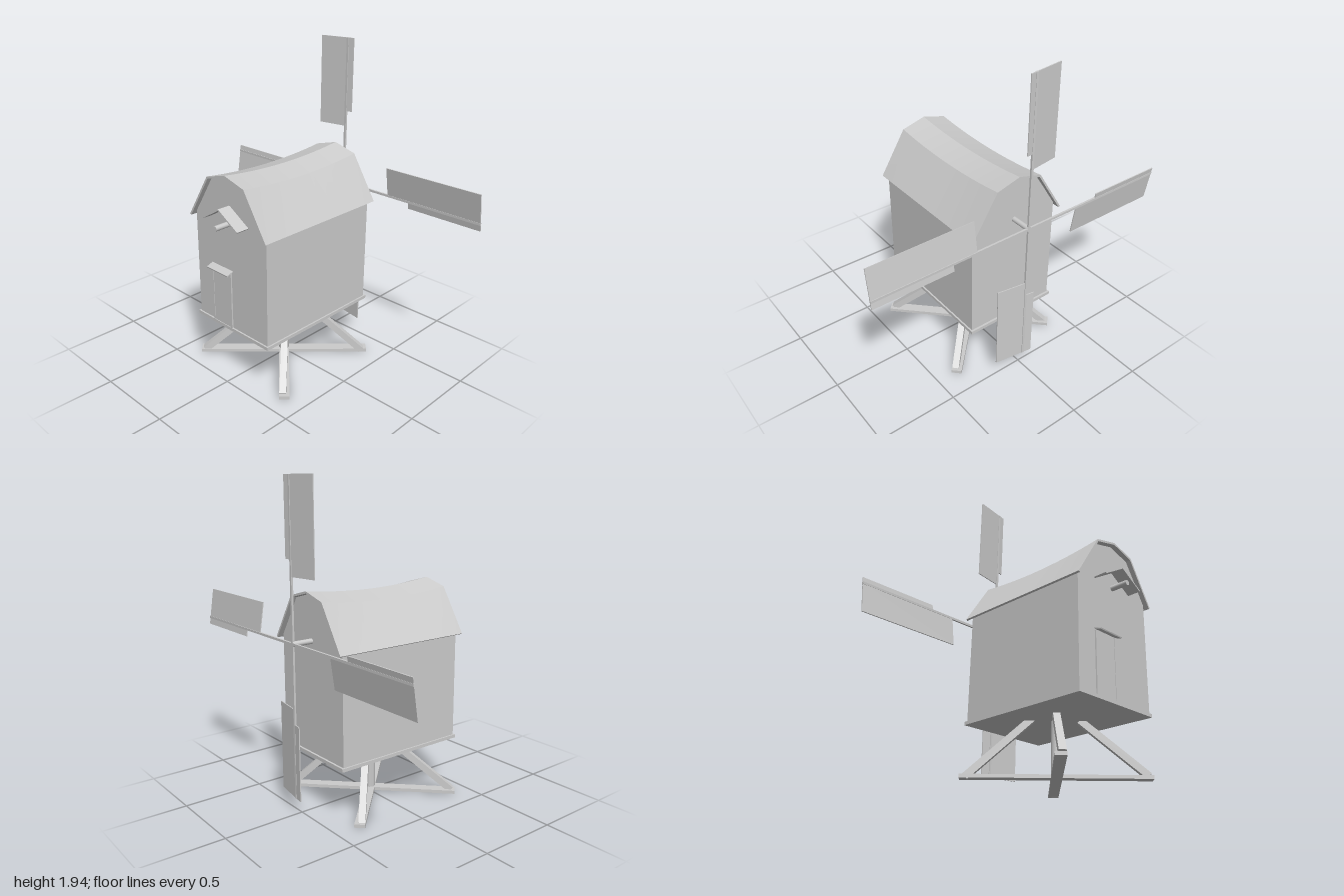
import * as THREE from 'three';
import { toCreasedNormals } from 'three/addons/utils/BufferGeometryUtils.js';

const material = new THREE.MeshStandardMaterial({ color: 0xcccccc });
const CX = -0.0125; // middle of the mill house along x
const AXLE_Y = 1.015;

function addMesh(parent, name, geometry, x = 0, y = 0, z = 0) {
  const mesh = new THREE.Mesh(geometry, material);
  mesh.name = name;
  mesh.position.set(x, y, z);
  parent.add(mesh);
  return mesh;
}

const box = (w, h, d) => new THREE.BoxGeometry(w, h, d);

// Extrudes a [z, y] outline along x, then lets its upper part sag in the middle
function saggingExtrusion(outline, x0, x1) {
  const shape = new THREE.Shape(outline.map(([z, y]) => new THREE.Vector2(z, y)));
  const geometry = new THREE.ExtrudeGeometry(shape, { depth: x1 - x0, steps: 12, bevelEnabled: false });
  geometry.rotateY(Math.PI / 2).translate(x0, 0, 0);
  const p = geometry.attributes.position;
  for (let i = 0; i < p.count; i++) {
    const t = (p.getX(i) - CX) / 0.457;
    const lift = THREE.MathUtils.clamp((p.getY(i) - 1.02) / 0.22, 0, 1);
    p.setY(i, p.getY(i) - 0.03 * (1 - t * t) * lift);
  }
  return toCreasedNormals(geometry, 0.2);
}

// Square beam between two points
function addBeam(parent, name, a, b, width) {
  const beam = addMesh(parent, name, box(width, width, a.distanceTo(b)));
  beam.position.copy(a).add(b).multiplyScalar(0.5);
  beam.lookAt(b);
}

// One arm pointing up, with a wide and a narrow board either side of the stock
function buildSail({ length, wideStart, narrowStart, narrowWidth }) {
  const sail = new THREE.Group();
  sail.name = 'sail';
  addMesh(sail, 'sailStock', box(0.012, length, 0.014), 0, length / 2, 0);
  const board = (name, start, z0, z1) => {
    const g = box(0.006, length - start, z1 - z0);
    g.translate(0, (length + start) / 2, (z0 + z1) / 2).rotateY(0.15);
    addMesh(sail, name, g);
  };
  board('wideBoard', wideStart, -0.186, 0);
  board('narrowBoard', narrowStart, 0, narrowWidth);
  return sail;
}

export function createModel() {
  const mill = new THREE.Group();
  mill.name = 'postMill';

  // Trestle: crossed ground beams, post and braces
  const trestle = new THREE.Group();
  trestle.name = 'trestle';
  trestle.position.x = CX;
  mill.add(trestle);
  for (const s of [1, -1]) {
    addMesh(trestle, 'groundBeam', box(1.06, 0.02, 0.062), 0, 0.01, 0).rotation.y = s * Math.PI / 4;
    for (const t of [1, -1]) {
      addBeam(trestle, 'brace', new THREE.Vector3(s * 0.355, 0.012, t * 0.355),
        new THREE.Vector3(s * 0.095, 0.335, t * 0.095), 0.04);
    }
  }
  addMesh(trestle, 'post', new THREE.CylinderGeometry(0.032, 0.032, 0.32, 8), 0, 0.17, 0);

  // House
  addMesh(mill, 'floor', box(0.875, 0.02, 0.61), CX, 0.335, 0);
  const wall = [[-0.295, 0.34], [0.295, 0.34], [0.295, 1.015], [0.148, 1.252], [0, 1.292], [-0.148, 1.252], [-0.295, 1.015]];
  addMesh(mill, 'house', saggingExtrusion(wall, -0.44, 0.412));

  // Sagging roof shell
  const roof = [[0.32, 0.993], [0.152, 1.262], [0, 1.303], [-0.152, 1.262], [-0.32, 0.993],
    [-0.31, 0.987], [-0.145, 1.251], [0, 1.29], [0.145, 1.251], [0.31, 0.987]];
  addMesh(mill, 'roof', saggingExtrusion(roof, -0.47, 0.445));

  // Axle and the little gabled hood above its tail
  const axle = new THREE.CylinderGeometry(0.016, 0.016, 1.09, 12).rotateZ(Math.PI / 2);
  addMesh(mill, 'axle', axle, -0.005, AXLE_Y, 0);
  for (const s of [1, -1]) {
    addMesh(mill, 'axleHood', box(0.085, 0.008, 0.178), -0.4805, 1.073, s * 0.076).rotation.x = s * 0.54;
  }

  // Door with a sloping canopy
  addMesh(mill, 'door', box(0.008, 0.355, 0.155), -0.442, 0.522, -0.08);
  for (const z of [-0.158, -0.002]) addMesh(mill, 'doorFrame', box(0.014, 0.36, 0.01), -0.442, 0.525, z);
  addMesh(mill, 'doorCanopy', box(0.05, 0.007, 0.18), -0.461, 0.71, -0.077).rotation.z = 0.33;

  // Four sails, turning around the axle
  const rotor = new THREE.Group();
  rotor.name = 'rotor';
  rotor.position.set(0.535, AXLE_Y, 0);
  mill.add(rotor);
  const sails = [
    { length: 0.92, wideStart: 0.375, narrowStart: 0.47, narrowWidth: 0.042 },
    { length: 1, wideStart: 0.357, narrowStart: 0.51, narrowWidth: 0.045 },
    { length: 0.924, wideStart: 0.38, narrowStart: 0.47, narrowWidth: 0.058 },
    { length: 1, wideStart: 0.357, narrowStart: 0.51, narrowWidth: 0.038 },
  ];
  sails.forEach((spec, i) => {
    const sail = buildSail(spec);
    sail.rotation.x = i * Math.PI / 2;
    rotor.add(sail);
  });

  return mill;
}
